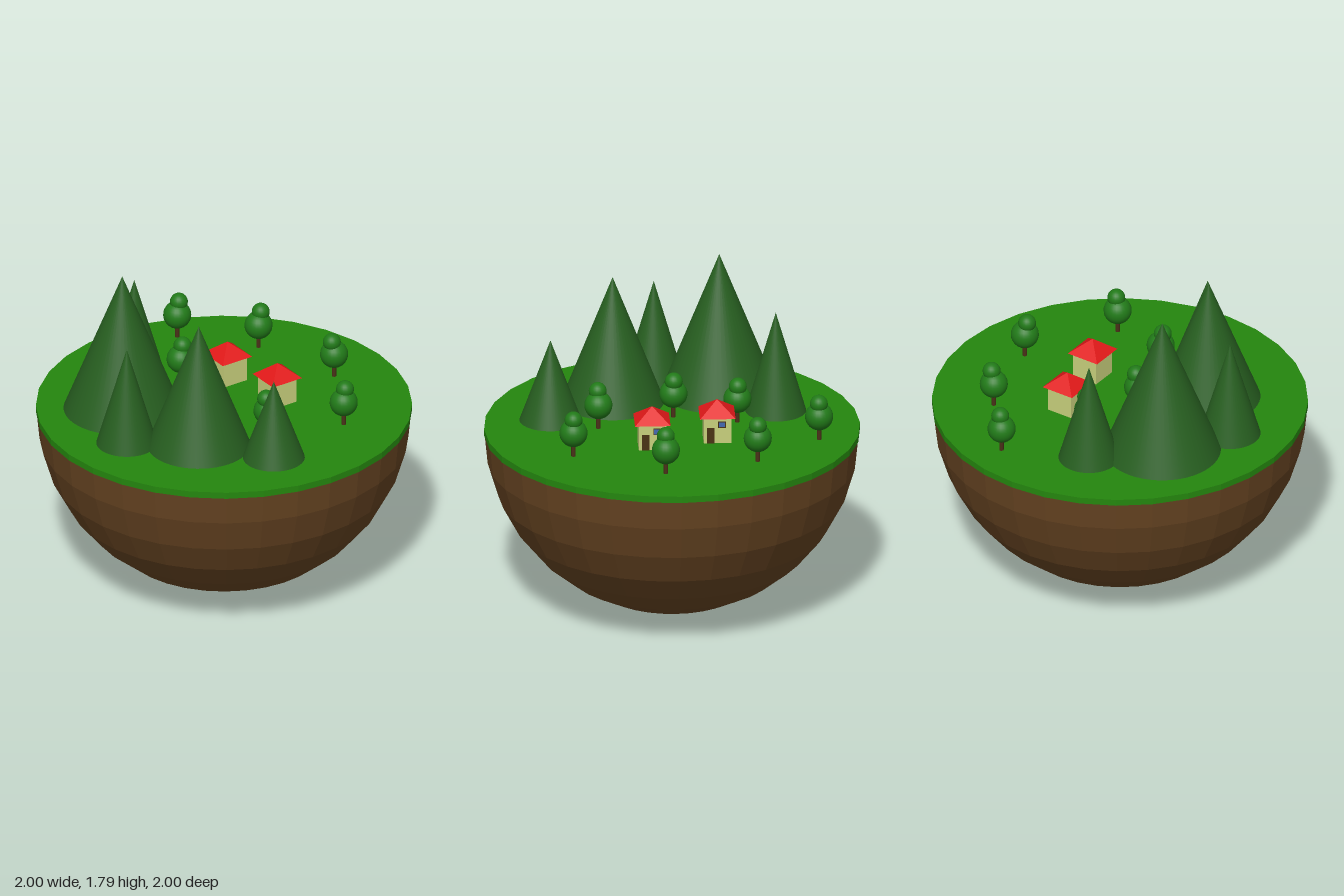
import * as THREE from 'three';

const mat = (color, flatShading = false) => {
  const m = new THREE.MeshStandardMaterial({ flatShading });
  m.color.set(color);
  return m;
};
const MAT = {
  soil: mat(0x654321, true), grass: mat(0x24860e, true), pine: mat(0x275f20),
  leaf: mat(0x217a18), trunk: mat(0x4a3018), wall: mat(0xc8d07c, true),
  roof: mat(0xe01818, true), door: mat(0x4a3212), glass: mat(0x4468b0),
};

function add(parent, name, geometry, material, x = 0, y = 0, z = 0) {
  const mesh = new THREE.Mesh(geometry, material);
  mesh.name = name;
  mesh.position.set(x, y, z);
  parent.add(mesh);
  return mesh;
}

function group(parent, name, x, z) {
  const g = new THREE.Group();
  g.name = name;
  g.position.set(x, 1, z);
  parent.add(g);
  return g;
}

// Round tree: trunk, big crown and a small, slightly offset top ball
function roundTree(parent, x, z, dx, dz) {
  const t = group(parent, 'roundTree', x, z);
  add(t, 'trunk', new THREE.CylinderGeometry(0.012, 0.012, 0.1, 12), MAT.trunk, 0, 0.05, 0);
  add(t, 'crown', new THREE.SphereGeometry(0.075, 24, 16), MAT.leaf, 0, 0.132, 0);
  add(t, 'crownTop', new THREE.SphereGeometry(0.048, 20, 14), MAT.leaf, dx, 0.208, dz);
}

// Square house turned on its corner, with pyramid roof, door and window
function house(parent, x, z) {
  const h = group(parent, 'house', x, z);
  h.rotation.y = Math.PI * 0.75;
  add(h, 'walls', new THREE.BoxGeometry(0.148, 0.15, 0.148), MAT.wall, 0, 0.075, 0);
  add(h, 'roof', new THREE.ConeGeometry(0.134, 0.078, 4), MAT.roof, 0, 0.183, 0).rotation.y = Math.PI / 4;
  add(h, 'door', new THREE.BoxGeometry(0.04, 0.088, 0.006), MAT.door, -0.036, 0.044, 0.074);
  add(h, 'windowFrame', new THREE.BoxGeometry(0.042, 0.036, 0.004), MAT.door, 0.024, 0.105, 0.074);
  add(h, 'windowPane', new THREE.BoxGeometry(0.032, 0.026, 0.008), MAT.glass, 0.024, 0.105, 0.074);
}

export function createModel() {
  const model = new THREE.Group();
  model.name = 'floatingIsland';

  // Ground: faceted half sphere of soil under a thin disc of grass
  add(model, 'soil', new THREE.SphereGeometry(1, 32, 8, 0, Math.PI * 2, Math.PI / 2, Math.PI / 2), MAT.soil, 0, 1, 0);
  add(model, 'grass', new THREE.CylinderGeometry(1, 1, 0.036, 32), MAT.grass, 0, 0.982, 0);

  // Tall pines: x, z, radius, height
  for (const [x, z, r, h] of [
    [-0.525, 0.135, 0.312, 0.79], [-0.05, 0.47, 0.275, 0.71], [-0.533, -0.262, 0.162, 0.56],
    [-0.43, 0.518, 0.162, 0.56], [0.368, 0.538, 0.165, 0.455],
  ]) add(model, 'pine', new THREE.ConeGeometry(r, h, 48), MAT.pine, x, 1 + h / 2, z);

  // Round trees: x, z and offset of the top ball
  for (const [x, z, dx, dz] of [
    [-0.383, -0.707, 0.008, -0.006], [0.063, -0.67, 0.01, -0.01], [0.517, -0.422, -0.01, 0.01],
    [-0.275, -0.22, 0.008, -0.01], [-0.1, 0.08, 0.008, -0.01], [0.285, 0.27, -0.006, 0.01],
    [0.666, 0.105, 0.006, -0.006],
  ]) roundTree(model, x, z, dx, dz);

  house(model, -0.035, -0.29);
  house(model, 0.27, -0.1);
  return model;
}
